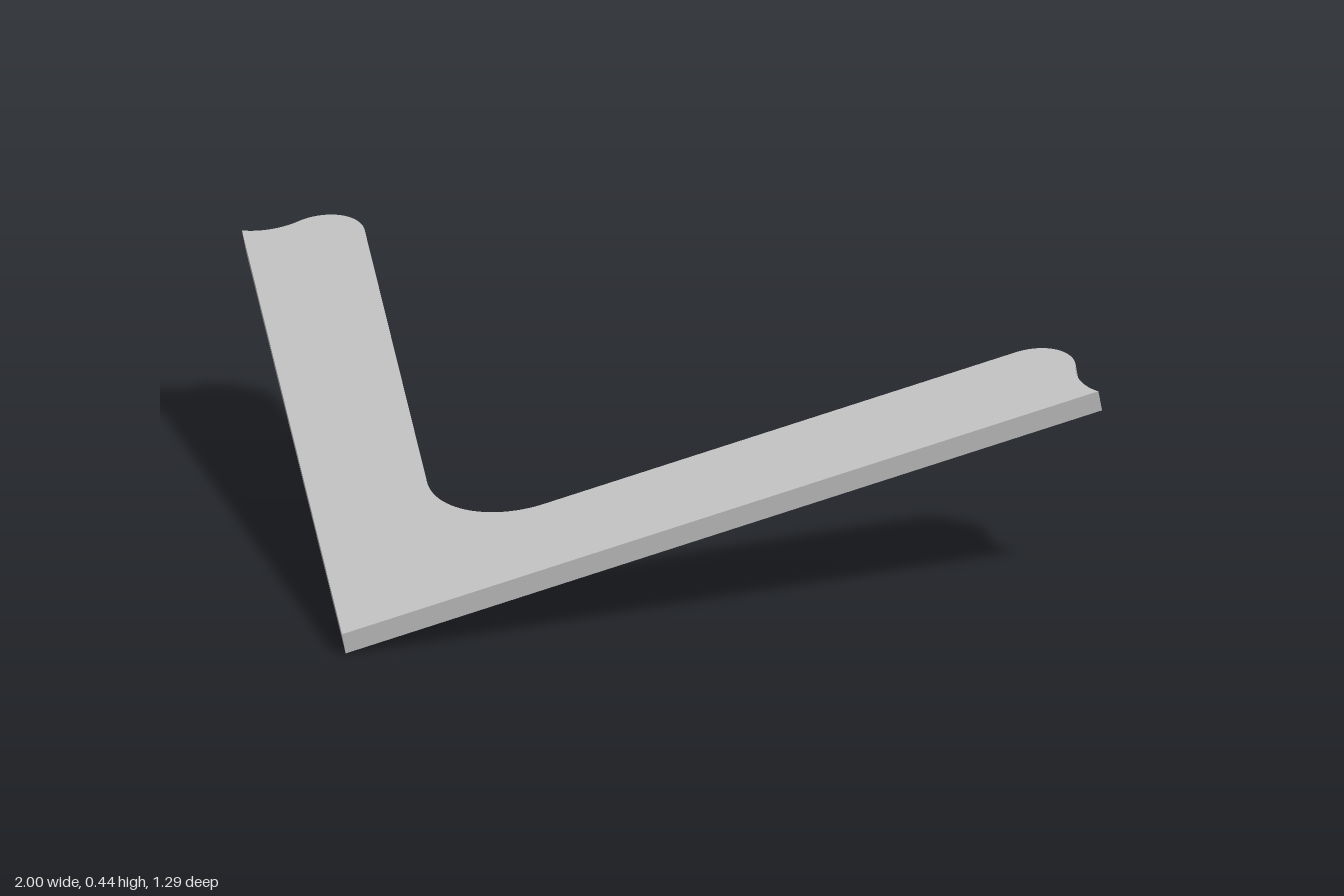
import * as THREE from 'three';
import { toCreasedNormals } from 'three/addons/utils/BufferGeometryUtils.js';

export function createModel() {
  const group = new THREE.Group();
  group.name = 'vBracket';
  const gray = new THREE.MeshStandardMaterial({ color: 0xc0c0c0 });
  gray.name = 'light gray';

  const rad = THREE.MathUtils.degToRad;
  const shape = new THREE.Shape();
  const arc = (x, y, r, from, to) => shape.absarc(x, y, r, rad(from), rad(to), to < from);

  // flat V outline: tip, right arm end, inner fillet, left arm end
  shape.moveTo(0, 0);
  shape.lineTo(1, 1.232);
  arc(1.02, 1.36, 0.13, 261.2, 210);
  arc(0.83, 1.25, 0.09, 30, 140.9);
  arc(0, 0.648, 0.175, -39.1, -140.9);
  arc(-0.83, 1.25, 0.09, 39.1, 150);
  arc(-1.02, 1.36, 0.13, -30, -81.2);
  shape.closePath();

  // thin plate, tilted so the arms rise toward the back
  const plate = new THREE.ExtrudeGeometry(shape, { depth: 0.0445, bevelEnabled: false, curveSegments: 20 });
  const mesh = new THREE.Mesh(toCreasedNormals(plate, rad(30)), gray);
  mesh.name = 'vPlate';
  mesh.rotation.x = -rad(90 - 17.2);
  mesh.position.set(0, 0, 0.632);
  group.add(mesh);
  return group;
}
